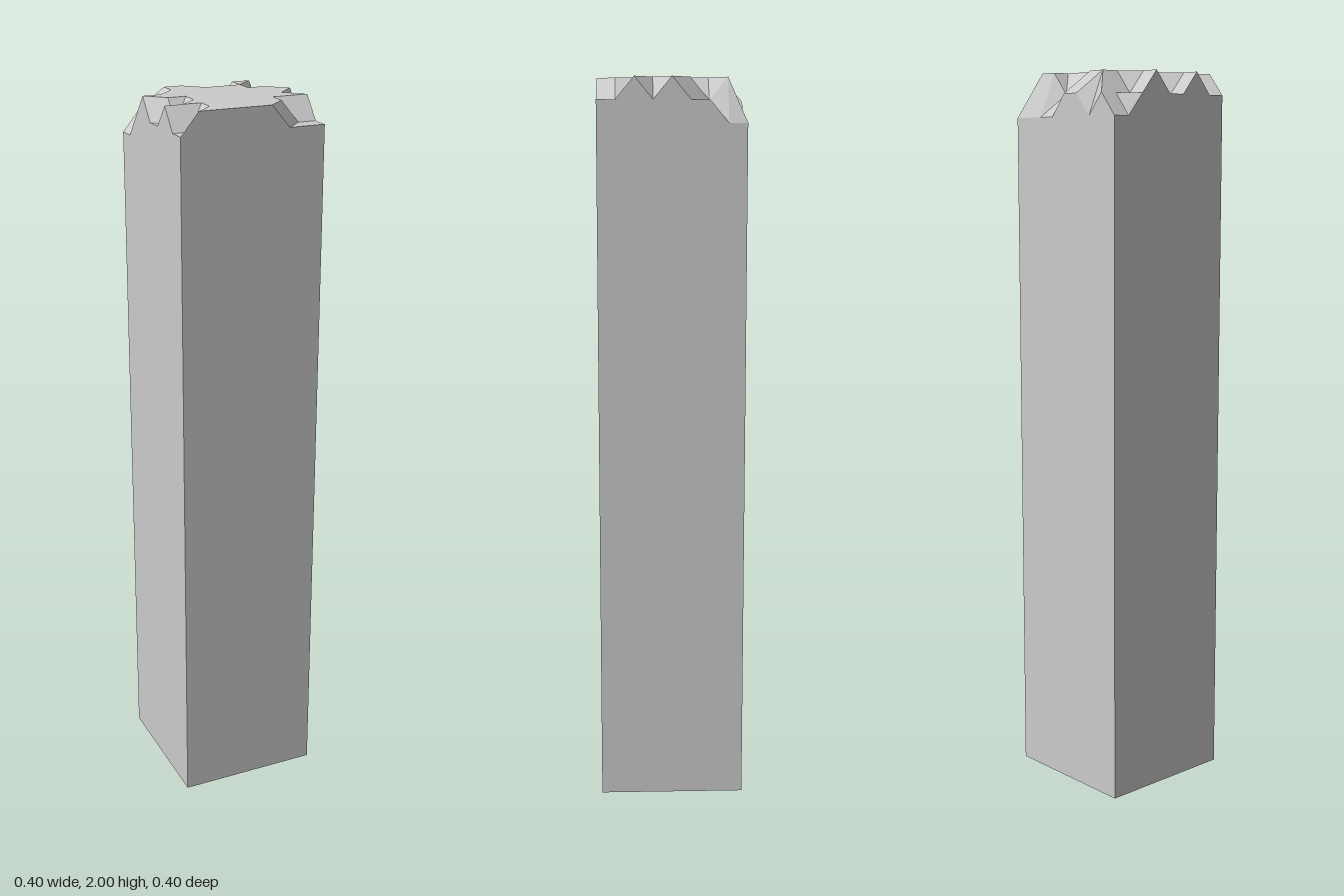
import * as THREE from 'three';

const WIDTH = 0.4, HEIGHT = 2, CELLS = 8, STEP = 0.06;

// How many steps each point of the broken top has dropped (rows: back to front, columns: -x to +x)
const DROPS = [
  '212112222',
  '210011002',
  '110000011',
  '000000001',
  '100000000',
  '110000001',
  '000000000',
  '110000011',
  '100000111',
];

// Cells of the top, as [row, column], that are split along the other diagonal
const FLIPPED = [[0, 1], [1, 3], [1, 5], [2, 7], [3, 0], [3, 7], [4, 0], [5, 7], [6, 6]];

function brokenPillarGeometry() {
  const geo = new THREE.BoxGeometry(WIDTH, HEIGHT, WIDTH, CELLS, 1, CELLS);
  geo.translate(0, HEIGHT / 2, 0);

  // Chip the rim: lower every top vertex by its number of steps
  const pos = geo.attributes.position;
  const cell = (v) => Math.round((v / WIDTH + 0.5) * CELLS);
  for (let i = 0; i < pos.count; i++) {
    if (pos.getY(i) < HEIGHT / 2) continue;
    const drop = Number(DROPS[cell(pos.getZ(i))][cell(pos.getX(i))]);
    pos.setY(i, HEIGHT - drop * STEP);
  }

  // Turn the diagonal of the flipped cells on the top face
  const index = geo.index;
  const topStart = geo.groups[2].start;
  for (const [row, col] of FLIPPED) {
    const k = topStart + (row * CELLS + col) * 6;
    const a = index.getX(k), b = index.getX(k + 1), d = index.getX(k + 2), c = index.getX(k + 4);
    [a, b, c, a, c, d].forEach((v, j) => index.setX(k + j, v));
  }

  geo.clearGroups();
  const flat = geo.toNonIndexed();
  flat.computeVertexNormals();
  return flat;
}

export function createModel() {
  const group = new THREE.Group();
  group.name = 'brokenPillar';
  const material = new THREE.MeshStandardMaterial({ color: 0xcccccc, flatShading: true });
  const shaft = new THREE.Mesh(brokenPillarGeometry(), material);
  shaft.name = 'pillarShaft';
  group.add(shaft);
  return group;
}
